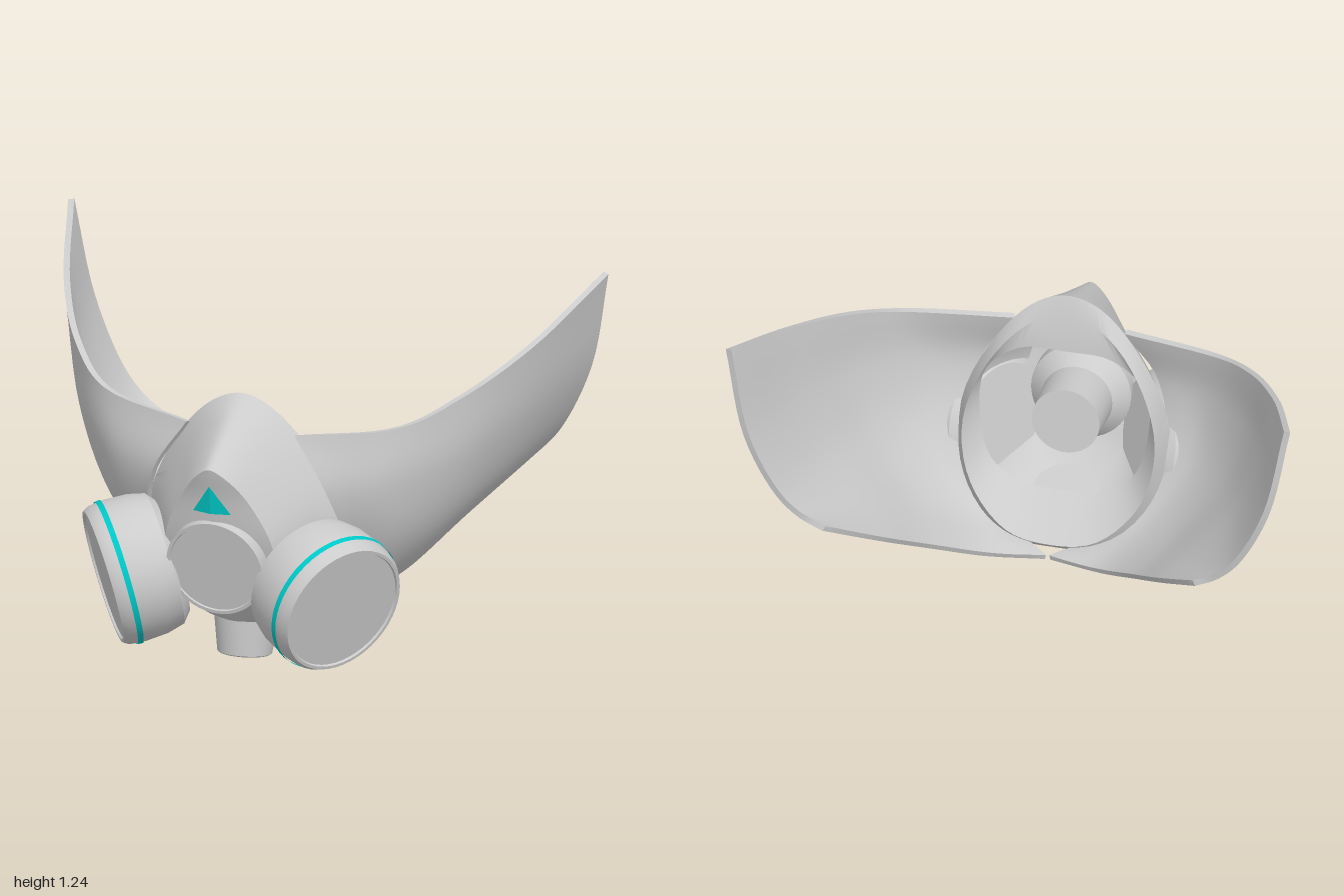
import * as THREE from 'three';
import { toCreasedNormals } from 'three/addons/utils/BufferGeometryUtils.js';

const grey = new THREE.MeshStandardMaterial({ color: 0xcccccc, side: THREE.DoubleSide });
const teal = new THREE.MeshStandardMaterial({ color: 0x00c8c8, side: THREE.DoubleSide });
const V = (p) => new THREE.Vector3(...p);

function part(name, geometry, material = grey) {
  const mesh = new THREE.Mesh(geometry, material);
  mesh.name = name;
  return mesh;
}

// Skin a list of closed rings that all have the same number of points
function loft(rings, flip, crease = 0.6) {
  const n = rings[0].length, pos = [], idx = [];
  rings.forEach((ring) => ring.forEach((p) => pos.push(p.x, p.y, p.z)));
  for (let i = 0; i < rings.length - 1; i++) {
    for (let j = 0; j < n; j++) {
      const a = i * n + j, b = i * n + (j + 1) % n, c = b + n, d = a + n;
      if (flip) idx.push(a, d, c, a, c, b);
      else idx.push(a, b, c, a, c, d);
    }
  }
  const g = new THREE.BufferGeometry();
  g.setAttribute('position', new THREE.Float32BufferAttribute(pos, 3));
  g.setIndex(idx);
  return toCreasedNormals(g, crease);
}

// Right-left symmetric closed contour from a half contour running top to bottom
function contour(half) {
  const other = half.slice(1, -1).reverse().map(([x, y, z]) => [-x, y, z]);
  const pts = [...half, ...other];
  const curve = new THREE.CatmullRomCurve3(pts.map(V), true);
  const out = [];
  for (let i = 0; i < 60; i++) out.push(curve.getPoint(i / 60));
  return out;
}

// Face shell: opening edge, seal crest, outer rim, brow crease, beak, centre line
function shellGeometry() {
  const halves = [
    [[0, .77, .21], [.16, .76, .21], [.28, .66, .2], [.3, .5, .18], [.25, .32, .14], [.14, .25, .12], [0, .24, .12]],
    [[0, .9, .23], [.12, .87, .22], [.26, .72, .17], [.34, .5, .1], [.3, .28, .04], [.16, .14, -.02], [0, .11, -.03]],
    [[0, .975, .26], [.11, .935, .26], [.25, .78, .24], [.37, .5, .2], [.34, .26, .1], [.2, .1, .02], [0, .08, 0]],
    [[0, .92, .36], [.07, .89, .36], [.19, .77, .34], [.3, .55, .32], [.28, .3, .27], [.18, .14, .2], [0, .1, .2]],
    [[0, .8, .575], [.05, .77, .56], [.12, .68, .52], [.2, .5, .48], [.18, .3, .42], [.12, .2, .35], [0, .16, .33]],
    [[0, .8, .575], [0, .77, .57], [0, .68, .55], [0, .5, .52], [0, .3, .45], [0, .2, .37], [0, .16, .33]],
  ];
  return loft(halves.map(contour), true, 0.7);
}

// Cheek wing: rows run front to back, listed from the top edge to the bottom edge
const wingRows = [
  [[.2, .85, .28], [.55, .89, .17], [.72, .97, 0], [.87, 1.08, -.27], [1, 1.235, -.64]],
  [[.32, .66, .29], [.52, .68, .2], [.69, .73, .02], [.82, .8, -.27], [.93, .88, -.66]],
  [[.36, .42, .2], [.5, .44, .13], [.62, .48, -.02], [.72, .55, -.28], [.82, .64, -.65]],
  [[.2, .13, .05], [.34, .19, .02], [.47, .27, -.09], [.58, .39, -.33], [.74, .55, -.64]],
  [[.01, .07, -.06], [.2, .1, -.13], [.36, .2, -.26], [.5, .35, -.45], [.66, .5, -.63]],
].map((row) => new THREE.CatmullRomCurve3(row.map(V)));

function wingGeometry(side) {
  const NU = 28, NV = 24, thick = 0.022, e = 0.01, rings = [];
  for (let i = 0; i <= NU; i++) {
    const u = i / NU, ua = Math.max(0, u - e), ub = Math.min(1, u + e);
    const column = (t) => new THREE.CatmullRomCurve3(wingRows.map((r) => r.getPoint(t)));
    const here = column(u), before = column(ua), after = column(ub);
    const outer = [], inner = [];
    for (let j = 0; j <= NV; j++) {
      const v = j / NV, p = here.getPoint(v);
      const du = after.getPoint(v).sub(before.getPoint(v));
      const normal = here.getTangent(v).cross(du).normalize();
      outer.push(p);
      inner.push(p.clone().addScaledVector(normal, -thick));
    }
    const mid = outer.map((p, j) => p.clone().lerp(inner[j], 0.5));
    const closed = [...mid, ...mid.slice().reverse()];
    if (i === 0) rings.push(closed);
    rings.push([...outer, ...inner.reverse()]);
    if (i === NU) rings.push(closed);
  }
  rings.forEach((ring) => ring.forEach((p) => { p.x *= 1; }));
  const mirrored = rings.map((ring) => ring.map((p) => new THREE.Vector3(p.x * side, p.y, p.z)));
  return loft(mirrored, side < 0);
}

// Turned part; profile is [radius, height] from the top centre down
function turned(profile) {
  const pts = profile.slice().reverse().map(([r, y]) => new THREE.Vector2(r, y));
  return toCreasedNormals(new THREE.LatheGeometry(pts, 48), 0.5);
}

// Place an object so that its local +y points along the given axis
function aim(object, position, axis) {
  object.position.set(...position);
  object.quaternion.setFromUnitVectors(new THREE.Vector3(0, 1, 0), V(axis).normalize());
  return object;
}

function filter(side) {
  const g = new THREE.Group();
  g.name = side > 0 ? 'leftFilter' : 'rightFilter';
  g.add(part('canister', turned([
    [0, -.008], [.222, -.008], [.225, 0], [.236, 0], [.248, -.02], [.252, -.05],
    [.254, -.08], [.25, -.16], [.235, -.22], [.2, -.25], [0, -.25],
  ])));
  const band = part('canisterBand', new THREE.CylinderGeometry(.256, .258, .02, 48, 1, true), teal);
  band.position.y = -.055;
  g.add(band);
  return aim(g, [.445 * side, .3, .44], [.82 * side, -.24, .52]);
}

export function createModel() {
  const model = new THREE.Group();
  model.name = 'respiratorMask';
  model.add(part('faceShell', shellGeometry()));

  for (const side of [1, -1]) {
    model.add(part(side > 0 ? 'leftCheekWing' : 'rightCheekWing', wingGeometry(side)));
    model.add(filter(side));
  }

  // Front valve, with its narrower tube reaching inside the shell
  const valve = part('frontValve', turned([
    [0, -.006], [.163, -.006], [.165, 0], [.177, 0], [.177, -.1], [.125, -.16], [.12, -.33], [0, -.33],
  ]));
  model.add(aim(valve, [0, .42, .525], [0, -.17, 1]));

  // Outlet under the chin
  const outlet = part('chinOutlet', turned([
    [0, 0], [.09, 0], [.095, -.004], [.117, -.16], [0, -.16],
  ]));
  model.add(aim(outlet, [0, .015, .24], [0, -.987, .16]));

  // Folded triangle on the beak
  const tri = new THREE.BufferGeometry();
  tri.setAttribute('position', new THREE.Float32BufferAttribute([
    0, .74, .576, 0, .635, .562, .07, .635, .547,
    0, .74, .576, -.07, .635, .547, 0, .635, .562,
  ], 3));
  tri.computeVertexNormals();
  model.add(part('beakTriangle', tri, teal));
  return model;
}
